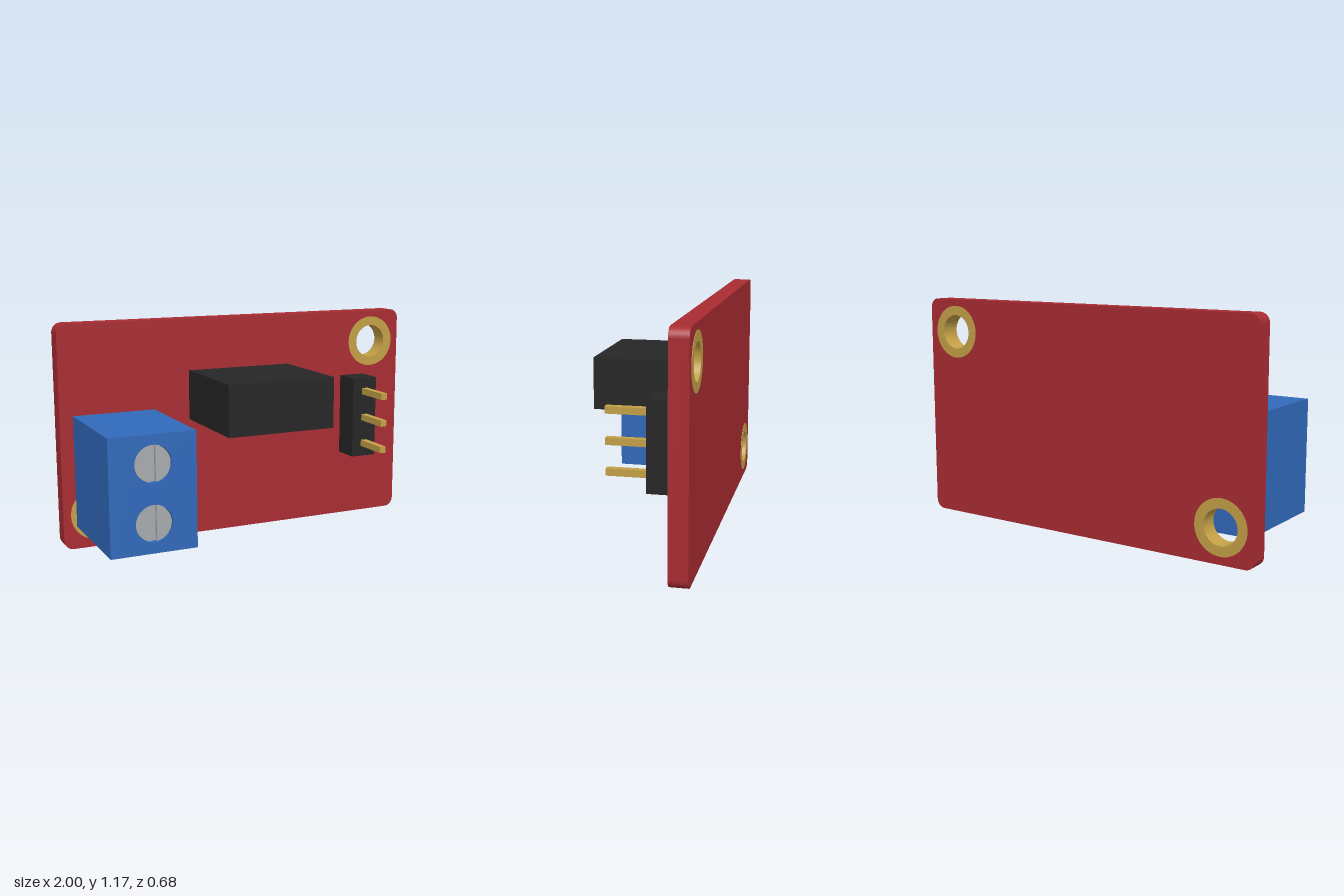
import * as THREE from 'three';

const BACK = -0.34, FACE = -0.247;
const mat = (color) => new THREE.MeshStandardMaterial({ color });

export function createModel() {
  const model = new THREE.Group();
  const red = mat(0xa82c32), gold = mat(0xc4a047), black = mat(0x262626);
  const blue = mat(0x3169bb), steel = mat(0xa8abad);

  const add = (name, geometry, material) => {
    const mesh = new THREE.Mesh(geometry, material);
    mesh.name = name;
    model.add(mesh);
    return mesh;
  };
  // Box given by its limits on each axis
  const box = (name, x0, x1, y0, y1, z0, z1, material) =>
    add(name, new THREE.BoxGeometry(x1 - x0, y1 - y0, z1 - z0), material)
      .position.set((x0 + x1) / 2, (y0 + y1) / 2, (z0 + z1) / 2);
  // Flat shape extruded from z0 to z1
  const slab = (name, shape, z0, z1, material) =>
    add(name, new THREE.ExtrudeGeometry(shape, { depth: z1 - z0, bevelEnabled: false, curveSegments: 32 }), material)
      .position.z = z0;
  const circle = (x, y, r, Type = THREE.Path) => new Type().absarc(x, y, r, 0, Math.PI * 2, false);

  // Circuit board with rounded corners and two mounting holes
  const mounts = [[0.82, 1.0], [-0.82, 0.18]];
  const r = 0.05, top = 1.175;
  const board = new THREE.Shape();
  board.absarc(1 - r, r, r, -Math.PI / 2, 0, false);
  board.absarc(1 - r, top - r, r, 0, Math.PI / 2, false);
  board.absarc(-1 + r, top - r, r, Math.PI / 2, Math.PI, false);
  board.absarc(-1 + r, r, r, Math.PI, Math.PI * 1.5, false);
  board.closePath();
  for (const [x, y] of mounts) board.holes.push(circle(x, y, 0.1));
  slab('circuitBoard', board, BACK, FACE, red);

  // Plated rings lining the mounting holes
  for (const [x, y] of mounts) {
    const ring = circle(x, y, 0.14, THREE.Shape);
    ring.holes.push(circle(x, y, 0.09));
    slab('mountingRing', ring, BACK - 0.002, FACE + 0.002, gold);
  }

  // Screw terminal: solid body and a front plate with screw recesses
  const [tx0, tx1, ty0, ty1, tz] = [-0.93, -0.49, 0.122, 0.705, 0.34];
  const screwX = -0.71, screwYs = [0.27, 0.562];
  box('terminalBody', tx0, tx1, ty0, ty1, FACE, tz - 0.04, blue);
  const plate = new THREE.Shape([[tx0, ty0], [tx1, ty0], [tx1, ty1], [tx0, ty1]]
    .map(([x, y]) => new THREE.Vector2(x, y)));
  for (const y of screwYs) plate.holes.push(circle(screwX, y, 0.093));
  slab('terminalFront', plate, tz - 0.04, tz, blue);

  // Slotted screws: a disc with two raised halves either side of the slot
  const R = 0.09, a = Math.acos(0.014 / R);
  for (const y of screwYs) {
    slab('screwBase', circle(screwX, y, R, THREE.Shape), tz - 0.04, tz - 0.025, steel);
    for (const start of [0, Math.PI]) {
      const half = new THREE.Shape().absarc(screwX, y, R, start - a, start + a, false);
      half.closePath();
      slab('screwHead', half, tz - 0.025, tz - 0.006, steel);
    }
  }

  // Main component block
  box('componentBlock', -0.295, 0.29, 0.636, 0.9, FACE, 0.281, black);

  // Pin header with three square pins
  box('headerBase', 0.63, 0.777, 0.367, 0.813, FACE, -0.1, black);
  for (const y of [0.442, 0.59, 0.739])
    box('headerPin', 0.686, 0.721, y - 0.0175, y + 0.0175, FACE + 0.02, 0.107, gold);

  return model;
}
